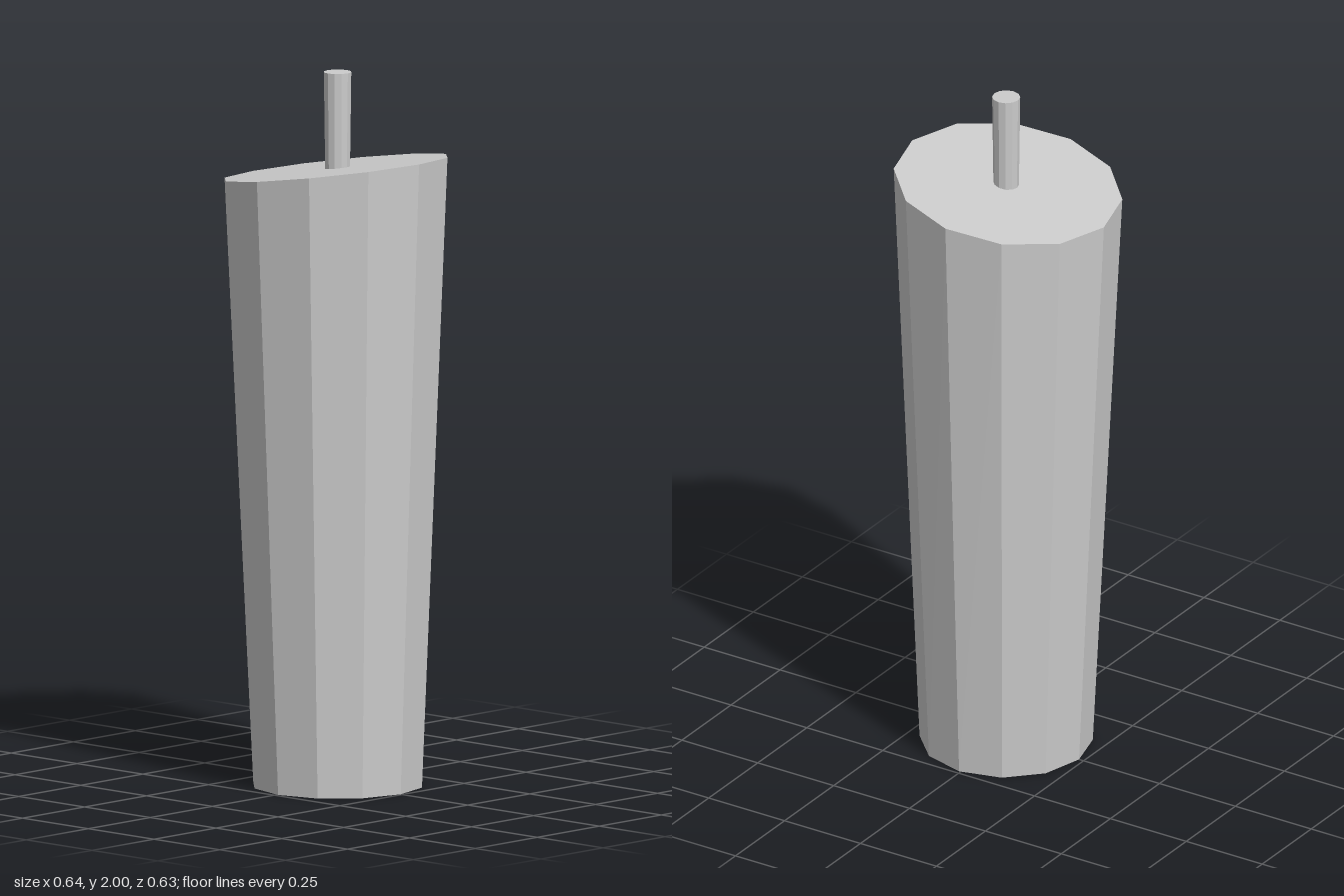
import * as THREE from 'three';

const SIDES = 12;

// Faceted tapered cylinder standing on baseY
function taperedCylinder(name, topRadius, bottomRadius, baseY, height, z) {
  const geometry = new THREE.CylinderGeometry(topRadius, bottomRadius, height, SIDES);
  geometry.translate(0, baseY + height / 2, z);
  const material = new THREE.MeshStandardMaterial({ color: 0xcccccc, flatShading: true });
  const mesh = new THREE.Mesh(geometry, material);
  mesh.name = name;
  return mesh;
}

export function createModel() {
  const model = new THREE.Group();
  model.name = 'taperedPost';

  // Body: wider at the top, with the top cut at a slant that rises to the front
  const bodyHeight = 1.73;
  const body = taperedCylinder('body', 0.319, 0.24, 0, bodyHeight, 0);
  const position = body.geometry.attributes.position;
  for (let i = 0; i < position.count; i++) {
    const z = position.getZ(i);
    if (position.getY(i) > bodyHeight / 2) {
      position.setY(i, bodyHeight + 0.145 * z);
      position.setZ(i, z * 0.99 - 0.001);
    } else {
      position.setZ(i, z + 0.005);
    }
  }
  body.geometry.computeVertexNormals();
  model.add(body);

  // Pin: thin rod seated in the slanted top
  model.add(taperedCylinder('pin', 0.039, 0.035, 1.7, 0.3, 0.005));

  return model;
}
